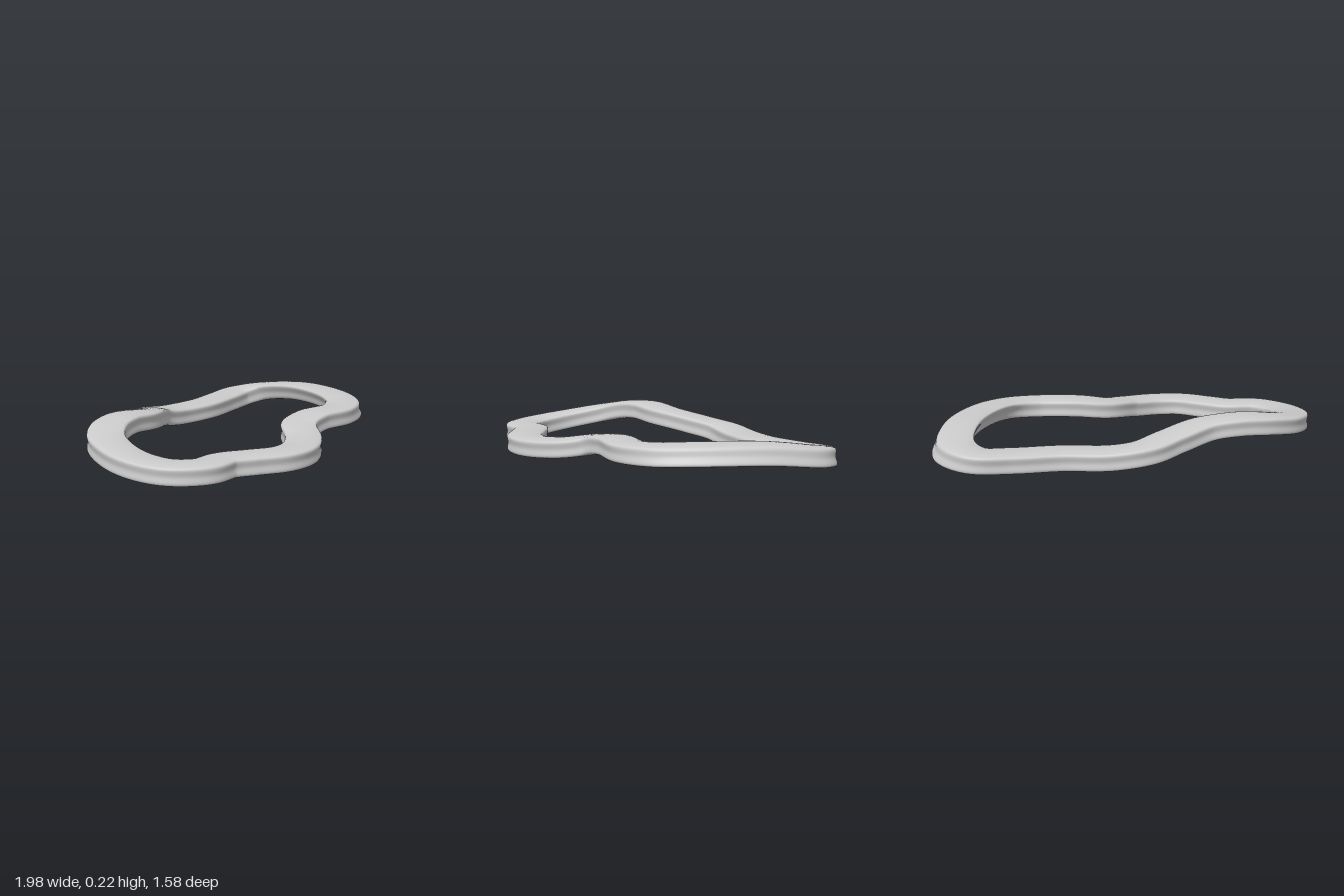
import * as THREE from 'three';

// Centre line of the loop, seen from above clockwise: x, y, z
const PATH = [
  [-0.90, 0.092, 0.27], [-0.86, 0.125, 0.08], [-0.76, 0.152, -0.04], [-0.62, 0.163, -0.12],
  [-0.45, 0.147, -0.19], [-0.29, 0.112, -0.34], [-0.165, 0.082, -0.46], [0, 0.06, -0.51],
  [0.26, 0.058, -0.55], [0.50, 0.06, -0.64], [0.68, 0.068, -0.692], [0.81, 0.09, -0.62],
  [0.87, 0.125, -0.35], [0.83, 0.13, -0.01], [0.74, 0.122, 0.18], [0.59, 0.116, 0.28],
  [0.36, 0.117, 0.315], [0.20, 0.097, 0.375], [0.08, 0.068, 0.54], [-0.06, 0.058, 0.655],
  [-0.21, 0.058, 0.69], [-0.37, 0.058, 0.645], [-0.51, 0.058, 0.605], [-0.67, 0.058, 0.632],
  [-0.81, 0.06, 0.55], [-0.88, 0.072, 0.42],
];

// One quarter of the band's section: dented wall, rounded edge, domed top
const QUARTER = [[0.093, 0], [0.096, 0.018], [0.098, 0.032], [0.094, 0.042], [0.082, 0.047], [0.045, 0.053], [0, 0.055]];

function sectionPoints() {
  const top = [...QUARTER, ...QUARTER.slice(0, -1).reverse().map(([u, v]) => [-u, v])];
  const loop = [...top, ...top.slice(1, -1).reverse().map(([u, v]) => [u, -v])];
  const curve = new THREE.CatmullRomCurve3(loop.map(([u, v]) => new THREE.Vector3(u, v, 0)), true);
  return curve.getPoints(loop.length * 2).slice(0, -1);
}

// Sweep the section round the closed path, keeping its width level
function sweepLoop(path, section, steps) {
  const n = section.length, positions = [], index = [];
  const worldUp = new THREE.Vector3(0, 1, 0);
  for (let i = 0; i < steps; i++) {
    const p = path.getPointAt(i / steps);
    const tangent = path.getTangentAt(i / steps);
    const out = new THREE.Vector3().crossVectors(worldUp, tangent).normalize();
    const up = new THREE.Vector3().crossVectors(tangent, out);
    // the walls lean inwards towards the top on the left end
    up.x -= 0.4 * THREE.MathUtils.smoothstep(p.x, 0.45, 0.85);
    section.forEach((s, j) => {
      const v = p.clone().addScaledVector(out, s.x).addScaledVector(up, s.y);
      positions.push(v.x, v.y, v.z);
      const a = i * n + j, b = i * n + (j + 1) % n;
      const c = ((i + 1) % steps) * n + j, d = ((i + 1) % steps) * n + (j + 1) % n;
      index.push(a, b, c, b, d, c);
    });
  }
  const geometry = new THREE.BufferGeometry();
  geometry.setAttribute('position', new THREE.Float32BufferAttribute(positions, 3));
  geometry.setIndex(index);
  geometry.computeVertexNormals();
  return geometry;
}

export function createModel() {
  const group = new THREE.Group();
  group.name = 'wavyLoop';
  const path = new THREE.CatmullRomCurve3(PATH.map(p => new THREE.Vector3(...p)), true, 'centripetal');
  path.arcLengthDivisions = 1000;
  const geometry = sweepLoop(path, sectionPoints(), 320);

  // Centre the band and rest it on the ground
  geometry.computeBoundingBox();
  const { min, max } = geometry.boundingBox;
  geometry.translate(-(min.x + max.x) / 2, -min.y, -(min.z + max.z) / 2);

  const band = new THREE.Mesh(geometry, new THREE.MeshStandardMaterial({ color: 0xcccccc }));
  band.name = 'band';
  group.add(band);
  return group;
}
